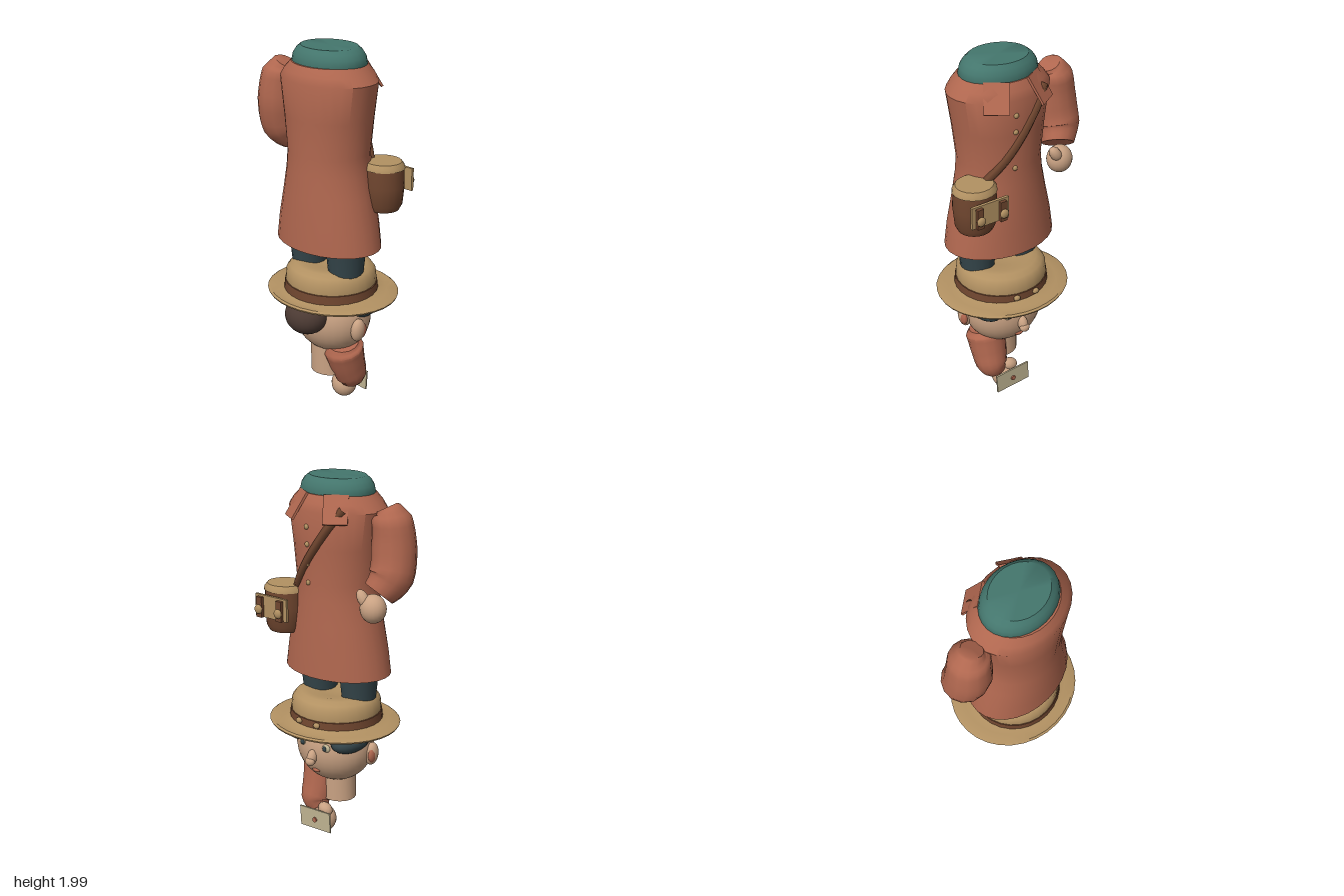
import * as THREE from 'three';
import { toCreasedNormals } from 'three/addons/utils/BufferGeometryUtils.js';

const CX = 0.05; // axis of the body

export function createModel() {
  const model = new THREE.Group();
  model.name = 'travellerFigure';

  const mat = (name, color) => {
    const m = new THREE.MeshStandardMaterial({ color });
    m.name = name;
    return m;
  };
  const brick = mat('brickCloth', 0xb0674f);
  const teal = mat('tealKnit', 0x44766d);
  const slate = mat('slateCloth', 0x34454a);
  const tan = mat('tanStraw', 0xb29162);
  const leather = mat('brownLeather', 0x70462f);
  const skin = mat('skin', 0xc9a283);
  const hair = mat('darkHair', 0x4d3b34);
  const cream = mat('creamPaper', 0xbfb391);

  const add = (name, geo, material, x = 0, y = 0, z = 0) => {
    const mesh = new THREE.Mesh(geo, material);
    mesh.name = name;
    mesh.position.set(x, y, z);
    model.add(mesh);
    return mesh;
  };

  // Stacked elliptical sections, rows of [y, half width, half depth], bottom to top
  const stack = (rows, sides = 28, crease = 0.7) => {
    const geo = new THREE.LatheGeometry(rows.map(([y, rx]) => new THREE.Vector2(rx, y)), sides);
    const pos = geo.attributes.position;
    for (let i = 0; i < pos.count; i++) {
      const [, rx, rz] = rows[i % rows.length];
      if (rx > 0) pos.setZ(i, (pos.getZ(i) * rz) / rx);
    }
    return toCreasedNormals(geo, crease);
  };
  const closed = (rows) => [[rows[0][0], 0, 0], ...rows, [rows[rows.length - 1][0], 0, 0]];

  const ball = (name, material, p, r, seg = 20) => {
    const mesh = add(name, new THREE.SphereGeometry(1, seg, Math.round(seg * 0.7)), material, ...p);
    mesh.scale.set(...r);
    return mesh;
  };

  // Tube whose radius changes along its path, rows of [x, y, z, radius]
  const limb = (rows, sides = 14) => {
    const curve = new THREE.CatmullRomCurve3(rows.map((r) => new THREE.Vector3(r[0], r[1], r[2])));
    const n = (rows.length - 1) * 4;
    const frames = curve.computeFrenetFrames(n);
    const verts = [], index = [];
    const centre = new THREE.Vector3();
    const ring = (i, scale) => {
      const t = i / n;
      curve.getPoint(t, centre);
      const f = t * (rows.length - 1);
      const k = Math.min(Math.floor(f), rows.length - 2);
      const r = scale * THREE.MathUtils.lerp(rows[k][3], rows[k + 1][3], f - k);
      for (let j = 0; j < sides; j++) {
        const a = (j / sides) * Math.PI * 2;
        const v = centre.clone()
          .addScaledVector(frames.normals[i], r * Math.cos(a))
          .addScaledVector(frames.binormals[i], r * Math.sin(a));
        verts.push(v.x, v.y, v.z);
      }
    };
    ring(0, 0.001);
    for (let i = 0; i <= n; i++) ring(i, 1);
    ring(n, 0.001);
    for (let i = 0; i < n + 2; i++) {
      for (let j = 0; j < sides; j++) {
        const a = i * sides + j, b = i * sides + ((j + 1) % sides);
        index.push(a, b, b + sides, a, b + sides, a + sides);
      }
    }
    const geo = new THREE.BufferGeometry();
    geo.setAttribute('position', new THREE.Float32BufferAttribute(verts, 3));
    geo.setIndex(index);
    return toCreasedNormals(geo, 0.8);
  };

  // Coat and collar
  const coat = [
    [0.97, 0.31, 0.225], [1.1, 0.29, 0.22], [1.25, 0.255, 0.212], [1.37, 0.231, 0.205],
    [1.465, 0.222, 0.201], [1.65, 0.245, 0.206], [1.84, 0.275, 0.213], [1.88, 0.245, 0.2], [1.92, 0.205, 0.175],
  ];
  add('coat', stack(closed(coat)), brick, CX, 0, 0.03);
  add('collar', stack(closed([
    [1.9, 0.2, 0.162], [1.92, 0.208, 0.166], [1.955, 0.2, 0.16], [1.98, 0.183, 0.147], [2.0, 0.157, 0.13],
  ])), teal, CX, 0, 0.028);

  // Depth of the coat surface on its buttoned side
  const coatZ = (x, y) => {
    let k = 0;
    while (k < coat.length - 2 && coat[k + 1][0] < y) k++;
    const t = (y - coat[k][0]) / (coat[k + 1][0] - coat[k][0]);
    const rx = THREE.MathUtils.lerp(coat[k][1], coat[k + 1][1], t);
    const rz = THREE.MathUtils.lerp(coat[k][2], coat[k + 1][2], t);
    return 0.03 - rz * Math.sqrt(Math.max(0, 1 - ((x - CX) / rx) ** 2));
  };

  // Lapels
  for (const s of [-1, 1]) {
    const lapel = add('lapel', new THREE.BoxGeometry(0.125, 0.155, 0.012), brick, CX + s * 0.126, 1.86, -0.145);
    lapel.rotation.set(0.55, -s * 0.59, 0, 'YXZ');
  }

  // Buttons
  for (const y of [1.76, 1.67, 1.57, 1.47]) {
    ball('button', tan, [0.085, y, coatZ(0.085, y)], [0.014, 0.014, 0.01], 10);
  }

  // Shoulder strap
  const strapPath = [];
  for (let i = 0; i <= 6; i++) {
    const x = THREE.MathUtils.lerp(0.22, -0.11, i / 6), y = THREE.MathUtils.lerp(1.4, 1.86, i / 6);
    strapPath.push(new THREE.Vector3(x, y, coatZ(x, y) + 0.005));
  }
  add('strap', new THREE.TubeGeometry(new THREE.CatmullRomCurve3(strapPath), 18, 0.024, 6), leather);

  // Pouch with lid, plate and two clasps
  add('pouch', stack(closed([[1.17, 0.09, 0.085], [1.2, 0.105, 0.1], [1.3, 0.115, 0.107], [1.39, 0.11, 0.103]]), 20),
    leather, 0.29, 0, -0.115);
  add('pouchLid', stack(closed([[1.39, 0.116, 0.109], [1.405, 0.113, 0.106], [1.425, 0.098, 0.092]]), 20),
    tan, 0.29, 0, -0.115);
  add('claspPlate', new THREE.BoxGeometry(0.215, 0.12, 0.015), tan, 0.28, 1.315, -0.234);
  for (const x of [0.213, 0.348]) {
    add('claspStrap', new THREE.BoxGeometry(0.036, 0.11, 0.02), leather, x, 1.31, -0.25);
    ball('claspKnob', tan, [x, 1.3, -0.264], [0.025, 0.025, 0.013], 12);
  }

  // Lowered arm and hand
  add('loweredArm', limb([
    [-0.26, 1.87, 0.03, 0.055], [-0.285, 1.82, 0.035, 0.1], [-0.3, 1.67, 0.04, 0.115],
    [-0.305, 1.53, 0.01, 0.115], [-0.27, 1.45, -0.045, 0.085],
  ]), brick);
  ball('loweredHand', skin, [-0.26, 1.375, -0.075], [0.07, 0.075, 0.065]);
  const thumb = ball('loweredThumb', skin, [-0.215, 1.425, -0.1], [0.03, 0.05, 0.03], 12);
  thumb.rotation.z = -0.6;

  // Trouser legs
  for (const s of [-1, 1]) {
    add('trouserLeg', stack(closed([[0.8, 0.088, 0.095], [0.85, 0.092, 0.099], [1.0, 0.105, 0.117]]), 18),
      slate, CX + s * 0.133, 0, 0.04);
  }

  // Hat
  add('hatCrown', stack([
    [0.66, 0.247, 0.237], [0.75, 0.247, 0.237], [0.8, 0.243, 0.233], [0.825, 0.225, 0.215],
    [0.842, 0.195, 0.185], [0.845, 0.16, 0.15], [0.83, 0.08, 0.08], [0.825, 0, 0],
  ]), tan, CX, 0, 0.013);
  add('hatBand', stack([[0.695, 0.256, 0.246], [0.742, 0.251, 0.241], [0.745, 0.245, 0.235]]), leather, CX, 0, 0.013);
  add('hatBrim', stack([
    [0.652, 0, 0], [0.652, 0.2, 0.18], [0.658, 0.29, 0.26], [0.672, 0.362, 0.326],
    [0.682, 0.367, 0.331], [0.69, 0.355, 0.32], [0.686, 0.3, 0.275], [0.704, 0.24, 0.23],
  ], 32), tan, CX, 0, 0);
  for (const x of [-0.01, 0.11]) ball('hatStud', tan, [x, 0.722, -0.226], [0.02, 0.016, 0.014], 10);

  // Head, hair and neck
  ball('head', skin, [CX, 0.54, 0.005], [0.222, 0.215, 0.195], 30);
  ball('hairBun', hair, [CX, 0.59, 0.2], [0.12, 0.105, 0.11], 24);
  for (const s of [-1, 1]) {
    ball('templeHair', slate, [CX + s * 0.15, 0.605, -0.05], [0.085, 0.062, 0.135]);
    ball('fringe', hair, [CX + s * 0.11, 0.65, -0.095], [0.11, 0.05, 0.095]);
    const ear = ball('ear', skin, [CX + s * 0.222, 0.515, 0.04], [0.035, 0.066, 0.042]);
    ear.rotation.z = -s * 0.1;
    ball('innerEar', brick, [CX + s * 0.238, 0.515, 0.025], [0.018, 0.042, 0.03], 12);
    ball('eye', cream, [CX + s * 0.078, 0.577, -0.17], [0.026, 0.022, 0.014], 14);
    ball('pupil', slate, [CX + s * 0.076, 0.577, -0.182], [0.013, 0.015, 0.006], 10);
    const brow = ball('eyebrow', hair, [CX + s * 0.08, 0.617, -0.168], [0.034, 0.009, 0.012], 10);
    brow.rotation.z = s * 0.2;
  }
  const nose = ball('nose', skin, [CX, 0.512, -0.195], [0.028, 0.045, 0.03], 14);
  nose.rotation.x = 0.35;
  ball('noseTip', skin, [CX, 0.495, -0.212], [0.03, 0.025, 0.024], 12);
  ball('mouth', brick, [CX, 0.425, -0.16], [0.026, 0.011, 0.012], 12);
  add('neck', stack(closed([[0.205, 0.1, 0.092], [0.42, 0.1, 0.092]]), 18), skin, CX, 0, 0.032);

  // Second arm, with hand and sealed envelope
  add('raisedArm', limb([
    [0.155, 0.4, 0.03, 0.085], [0.15, 0.36, 0.02, 0.112], [0.15, 0.26, -0.01, 0.1],
    [0.15, 0.18, -0.04, 0.088], [0.12, 0.13, -0.05, 0.055],
  ]), brick);
  ball('raisedHand', skin, [0.082, 0.082, -0.06], [0.072, 0.076, 0.068]);
  const finger = ball('raisedThumb', skin, [0.055, 0.155, -0.08], [0.045, 0.035, 0.035], 12);
  finger.rotation.z = 0.4;
  const envelope = add('envelope', new THREE.BoxGeometry(0.21, 0.115, 0.009), cream, 0.077, 0.108, -0.138);
  envelope.rotation.z = -0.06;
  const seal = add('seal', new THREE.CylinderGeometry(0.014, 0.014, 0.008, 14), brick, 0.077, 0.105, -0.146);
  seal.rotation.x = Math.PI / 2;

  return model;
}
